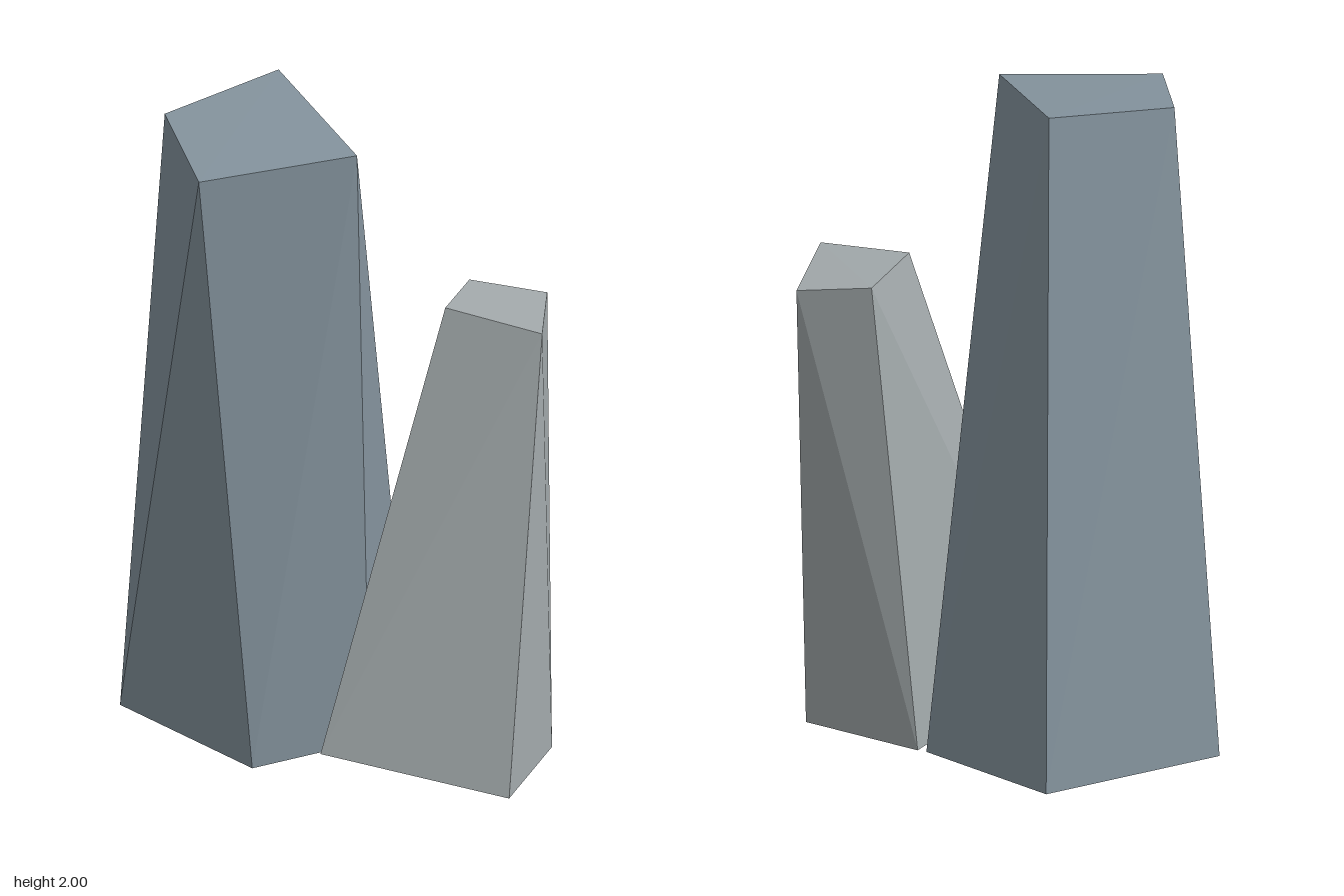
import * as THREE from 'three';
import { ConvexGeometry } from 'three/addons/geometries/ConvexGeometry.js';

// A faceted stone: the hull around its top and bottom corner rings
function stone(name, color, top, bottom) {
  const points = [...top, ...bottom].map((p) => new THREE.Vector3(...p));
  const material = new THREE.MeshStandardMaterial({ color, flatShading: true });
  const mesh = new THREE.Mesh(new ConvexGeometry(points), material);
  mesh.name = name;
  return mesh;
}

export function createModel() {
  const group = new THREE.Group();
  group.name = 'standingStones';

  // Tall stone: four-sided top twisting into a five-sided foot
  group.add(stone('tallStone', 0x84939d,
    [[-0.505, 1.98, 0.16], [-0.28, 1.955, 0.41], [0.067, 1.967, 0.11], [-0.305, 2, -0.16]],
    [[-0.61, 0.045, 0.23], [-0.15, 0.018, 0.335], [0.092, 0.03, 0.08], [0.045, 0.06, -0.263], [-0.48, 0.095, -0.41]]));

  // Short stone: four-sided, leaning back
  group.add(stone('shortStone', 0xa4abad,
    [[0.24, 1.4, -0.257], [0.268, 1.435, -0.042], [0.555, 1.41, -0.07], [0.445, 1.37, -0.333]],
    [[0.067, 0.13, 0.347], [0.61, 0.08, 0.26], [0.547, 0.003, -0.15], [0.127, 0.025, -0.193]]));

  return group;
}
